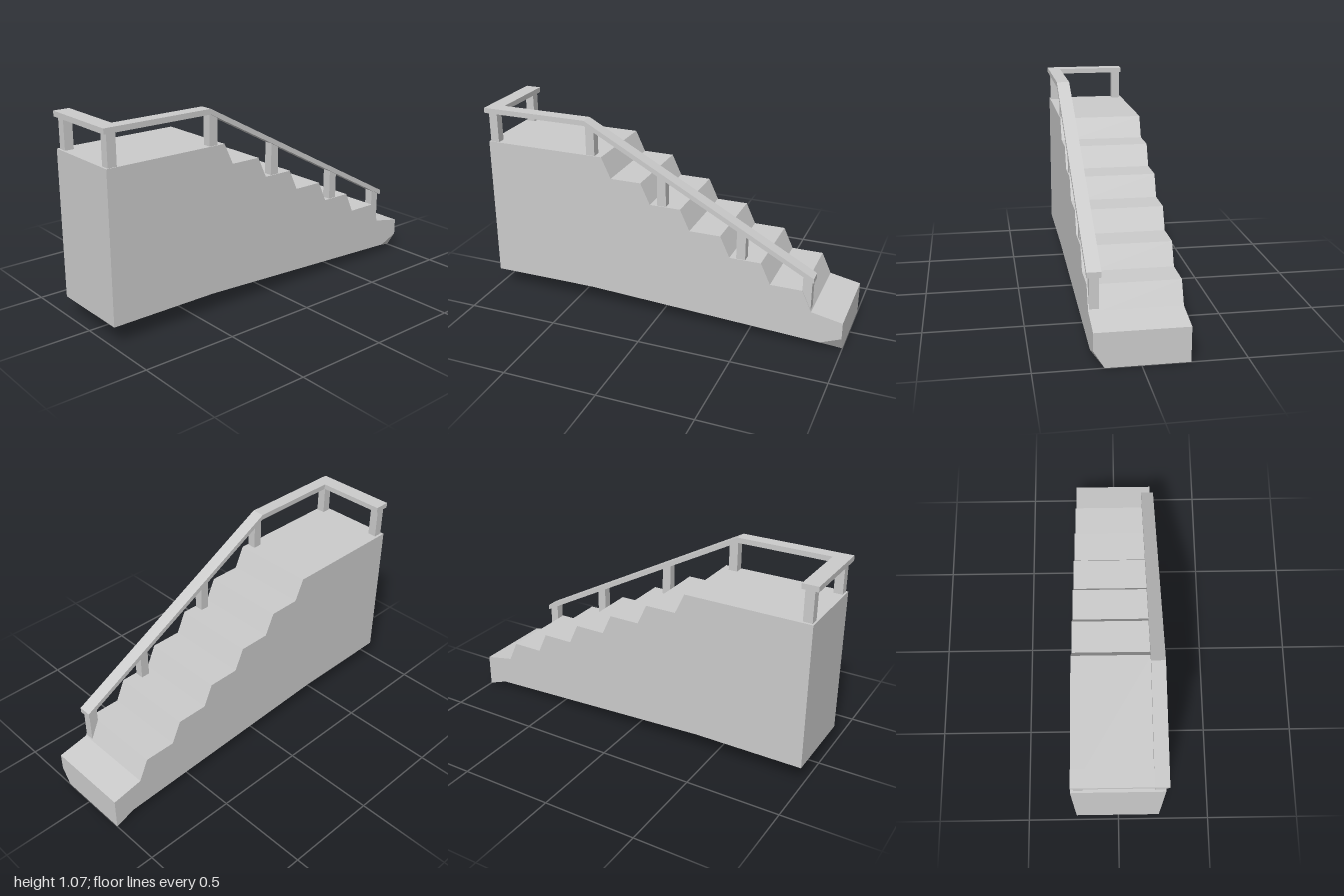
import * as THREE from 'three';

const LEFT = -0.23, RIGHT = 0.222;          // side faces of the stair block
const material = new THREE.MeshStandardMaterial({ color: 0xcccccc, flatShading: true });

// Extrudes a [z, y] side profile across x
function sideExtrude(profile, x0, x1, steps = 1) {
  const shape = new THREE.Shape(profile.map(([z, y]) => new THREE.Vector2(-z, y)));
  const geometry = new THREE.ExtrudeGeometry(shape, { depth: x1 - x0, steps, bevelEnabled: false });
  return geometry.rotateY(Math.PI / 2).translate(x0, 0, 0);
}

// Height of the handrail's top at a given z
const railTop = (z) => (z > 0.405 ? 1.07 : 1.07 + (z - 0.405) * 0.538);

function stairGeometry() {
  // Underside, back end, then six sloped risers up to the landing
  const profile = [[0.99, 0.1], [0.4, 0.1], [-0.89, 0.04], [-1, 0], [-1, 0.175]];
  for (let i = 0; i < 6; i++) {
    const z = -0.835 + i * 0.22;
    profile.push([z, i ? 0.207 + (i * 0.673) / 6 : 0.207]);
    profile.push([z + 0.052, 0.207 + ((i + 1) * 0.673) / 6]);
  }
  profile.push([0.99, 0.88]);
  const geometry = sideExtrude(profile, LEFT, RIGHT, 2);

  // Cut the lower back corner on the railing side
  const p = geometry.attributes.position;
  const middle = (LEFT + RIGHT) / 2;
  for (let i = 0; i < p.count; i++) {
    const x = p.getX(i), y = p.getY(i), z = p.getZ(i);
    if (Math.abs(x - middle) < 0.01) {
      p.setX(i, Math.abs(z + 0.89) < 0.001 ? RIGHT : 0.17);
    } else if (x > 0.2 && z < -0.99 && y < 0.01) {
      p.setY(i, 0.085);
    }
  }
  geometry.computeVertexNormals();
  return geometry;
}

export function createModel() {
  const model = new THREE.Group();
  const add = (name, geometry, parent = model) => {
    const mesh = new THREE.Mesh(geometry, material);
    mesh.name = name;
    parent.add(mesh);
  };

  add('stairBlock', stairGeometry());

  const railing = new THREE.Group();
  railing.name = 'railing';
  model.add(railing);

  // Handrail beside the landing and down the stairs
  const top = [[1, railTop(1)], [0.405, 1.07], [-0.84, railTop(-0.84)]];
  const bottom = top.map(([z, y]) => [z, y - 0.028]).reverse();
  add('sideHandrail', sideExtrude([...top, ...bottom], 0.16, 0.23), railing);

  // Handrail across the front of the landing
  const front = new THREE.BoxGeometry(0.382, 0.028, 0.085);
  add('frontHandrail', front.translate(-0.031, 1.056, 0.9575), railing);

  // Posts: [x, front z, foot height], tops follow the rail
  const posts = [
    [-0.215, 0.98, 0.87], [0.17, 0.98, 0.87], [0.17, 0.405, 0.87],
    [0.17, 0.005, 0.64], [0.17, -0.43, 0.42], [0.17, -0.783, 0.19],
  ];
  for (const [x, z, foot] of posts) {
    const back = z - 0.048;
    const profile = [[z, foot], [back, foot], [back, railTop(back) - 0.015], [z, railTop(z) - 0.015]];
    add('railingPost', sideExtrude(profile, x, x + 0.047), railing);
  }
  return model;
}
